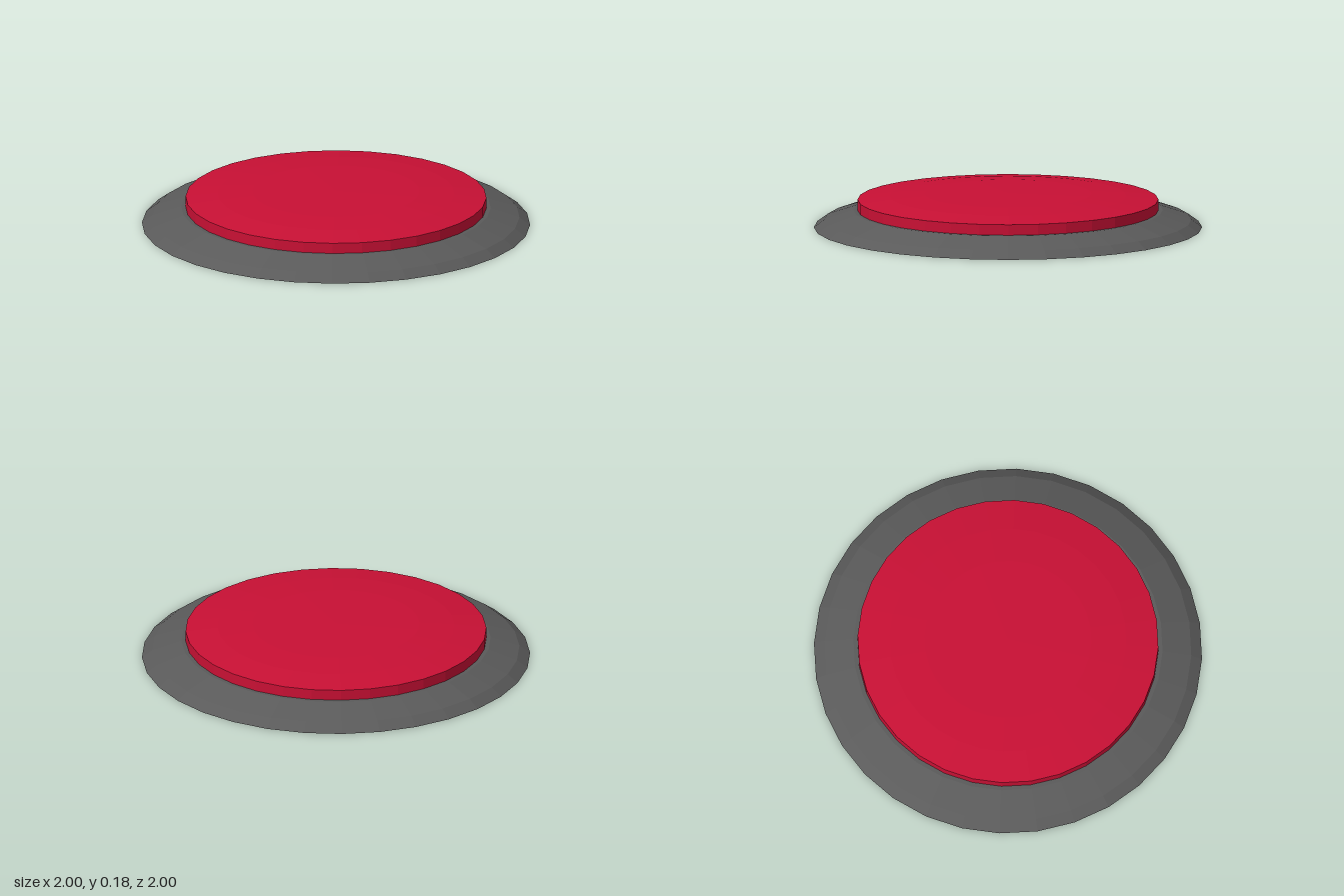
import * as THREE from 'three';

const SIDES = 32;

// Faceted turned part from a profile of [radius, height] pairs
function turned(name, color, profile, side = THREE.FrontSide) {
  const points = profile.map(([r, y]) => new THREE.Vector2(r, y));
  const material = new THREE.MeshStandardMaterial({ color, flatShading: true, side });
  const mesh = new THREE.Mesh(new THREE.LatheGeometry(points, SIDES), material);
  mesh.name = name;
  return mesh;
}

export function createModel() {
  const group = new THREE.Group();
  group.name = 'pushButton';
  const grey = 0x5a5a5a;
  const red = 0xc81034;

  // Sloping open skirt with a narrow flat lip around the cap
  group.add(turned('skirt', grey,
    [[1, 0], [0.945, 0.04], [0.797, 0.09], [0.772, 0.09]], THREE.DoubleSide));

  // Drum under the cap, closed at the bottom
  group.add(turned('drum', grey, [[0, 0], [0.793, 0], [0.793, 0.089]]));

  // Slightly domed cap
  group.add(turned('cap', red,
    [[0.775, 0.088], [0.775, 0.145], [0.61, 0.164], [0.43, 0.176], [0, 0.178]]));

  return group;
}
